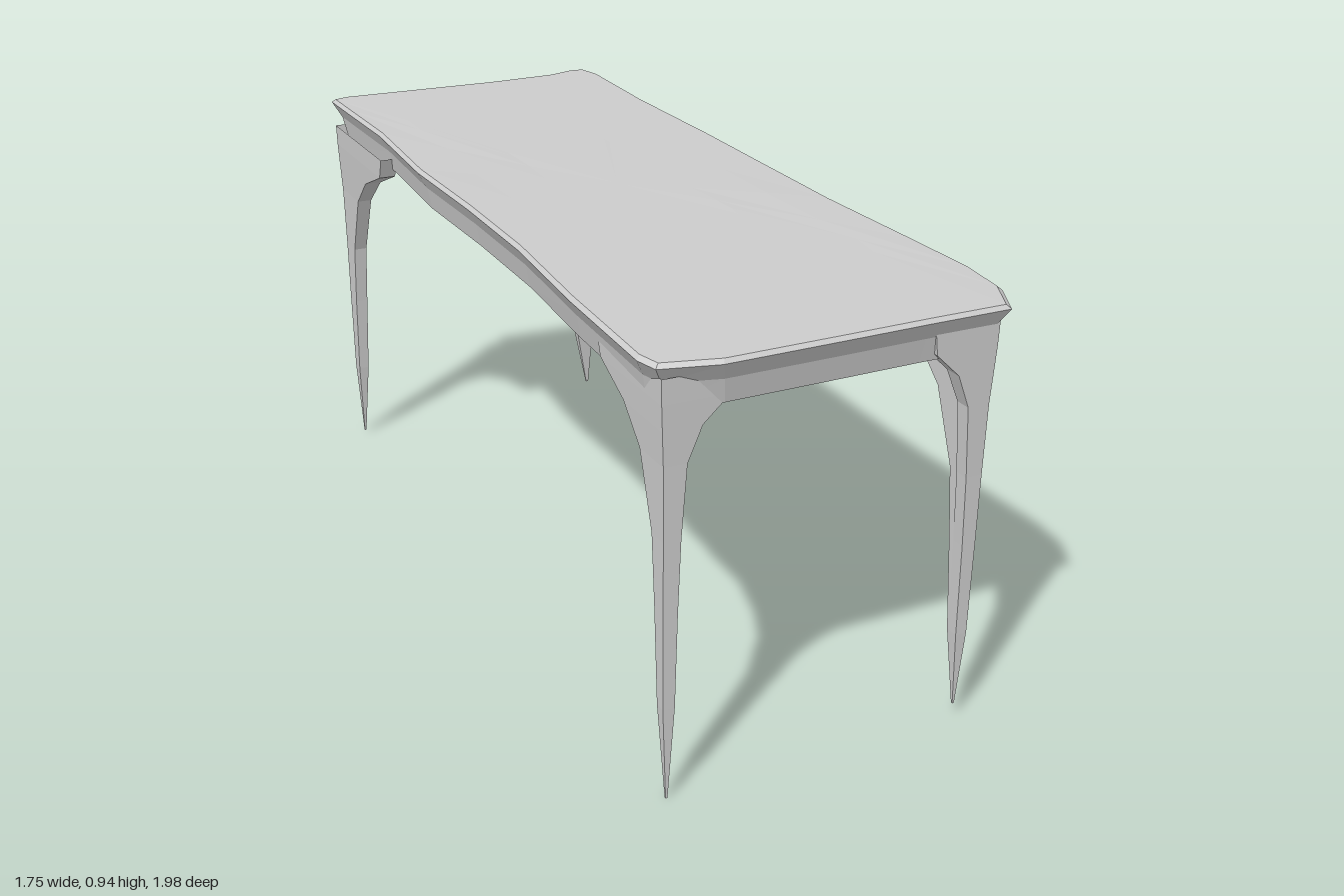
import * as THREE from 'three';

const material = new THREE.MeshStandardMaterial({ color: 0xcccccc, flatShading: true, side: THREE.DoubleSide });

// Table axes on the floor: U runs along the length, V across the width.
const U = [0.61, 0.79], V = [0.79, -0.61];
const HALF_LENGTH = 0.97, HALF_WIDTH = 0.365;

// Gently sloping, slightly uneven height of the table top.
const topY = (x, z) => 0.922 - 0.016 * z - 0.01 * x + 0.003 * Math.sin(5 * x + 3 * z);

// Skin closed rings (counter-clockwise from above, listed from the inside/bottom up).
function loft(rings, name) {
  const n = rings[0].length, index = [];
  for (let i = 0; i < rings.length - 1; i++) {
    for (let j = 0; j < n; j++) {
      const k = (j + 1) % n;
      const a = i * n + j, b = i * n + k, c = (i + 1) * n + k, d = (i + 1) * n + j;
      index.push(a, b, c, a, c, d);
    }
  }
  const geometry = new THREE.BufferGeometry();
  geometry.setAttribute('position', new THREE.Float32BufferAttribute(rings.flat(2), 3));
  geometry.setIndex(index);
  geometry.computeVertexNormals();
  const mesh = new THREE.Mesh(geometry, material);
  mesh.name = name;
  return mesh;
}

// Outline of the table top as x, z pairs.
const outline = [
  [-0.32, -1], [-0.27, -0.96], [-0.1, -0.74], [0.13, -0.46], [0.3, -0.23], [0.48, 0],
  [0.68, 0.22], [0.8, 0.36], [0.86, 0.46], [0.88, 0.56], [0.75, 0.66], [0.6, 0.78],
  [0.4, 0.94], [0.29, 0.99], [0.25, 0.96], [0.07, 0.72], [-0.1, 0.47], [-0.28, 0.23],
  [-0.47, 0], [-0.65, -0.25], [-0.8, -0.43], [-0.88, -0.53], [-0.86, -0.56],
  [-0.53, -0.8], [-0.39, -0.92], [-0.35, -0.98],
].reverse();

// Outline moved inward by inset, and lowered by drop from the top surface.
function outlineRing(inset, drop, scale = 1) {
  return outline.map(([x, z]) => {
    const u = (x * U[0] + z * U[1]) * (1 - inset / HALF_LENGTH) * scale;
    const v = (x * V[0] + z * V[1]) * (1 - inset / HALF_WIDTH) * scale;
    const px = u * U[0] + v * V[0], pz = u * U[1] + v * V[1];
    return [px, topY(px, pz) - drop, pz];
  });
}

// Leg stations: height, drift from tip to corner, reach along U, reach along V, thickness.
const stations = [
  [0, 0, 0.004, 0.004, 0.004],
  [0.2, 0.45, 0.03, 0.03, 0.025],
  [0.4, 0.55, 0.045, 0.038, 0.03],
  [0.55, 0.6, 0.06, 0.045, 0.032],
  [0.7, 0.7, 0.12, 0.06, 0.035],
  [0.77, 0.85, 0.2, 0.1, 0.04],
  [0.82, 0.95, 0.32, 0.17, 0.04],
  [0.87, 1, 0.34, 0.18, 0.04],
];

// Tapering leg with an L-shaped section that spreads into brackets under the apron.
function makeLeg({ name, tip, corner, su, sv, reachU, reachV }) {
  const rings = stations.map(([h, k, a0, b0, t], i) => {
    const y = i === 0 ? tip[1] : h;
    const a = Math.max(t, a0 * reachU), b = Math.max(t, b0 * reachV);
    const cx = THREE.MathUtils.lerp(tip[0], corner[0], k);
    const cz = THREE.MathUtils.lerp(tip[2], corner[1], k);
    const section = [[0, 0], [a, 0], [a, t], [t, t], [t, b], [0, b]];
    if (su * sv < 0) section.reverse();
    return section.map(([u, v]) => [
      cx + su * u * U[0] + sv * v * V[0], y, cz + su * u * U[1] + sv * v * V[1],
    ]);
  });
  // Close the tip.
  rings.unshift(rings[0].map(() => tip));
  return loft(rings, name);
}

export function createModel() {
  const table = new THREE.Group();
  table.name = 'table';

  // Top slab with a hollow underside and an inward sloping apron.
  table.add(loft([
    outlineRing(0.08, 0.045, 0),
    outlineRing(0.08, 0.045),
    outlineRing(0.06, 0.09),
    outlineRing(0.03, 0.095),
    outlineRing(0.02, 0.045),
    outlineRing(0, 0.008),
    outlineRing(0.008, 0),
    outlineRing(0, 0, 0.7),
    outlineRing(0, 0, 0.35),
    outlineRing(0, 0, 0),
  ], 'tableTop'));

  // Four legs, one at each corner.
  [
    { name: 'backRightLeg', tip: [-0.84, 0.005, -0.53], corner: [-0.87, -0.53], su: 1, sv: 1, reachU: 1.1, reachV: 0.8 },
    { name: 'backLeftLeg', tip: [-0.3, 0.035, -0.94], corner: [-0.295, -0.972], su: 1, sv: -1, reachU: 0.8, reachV: 1.6 },
    { name: 'frontLeftLeg', tip: [0.83, 0.035, 0.56], corner: [0.858, 0.55], su: -1, sv: -1, reachU: 1, reachV: 0.8 },
    { name: 'frontRightLeg', tip: [0.31, 0, 0.96], corner: [0.297, 0.975], su: -1, sv: 1, reachU: 0.8, reachV: 0.8 },
  ].forEach((leg) => table.add(makeLeg(leg)));

  return table;
}
